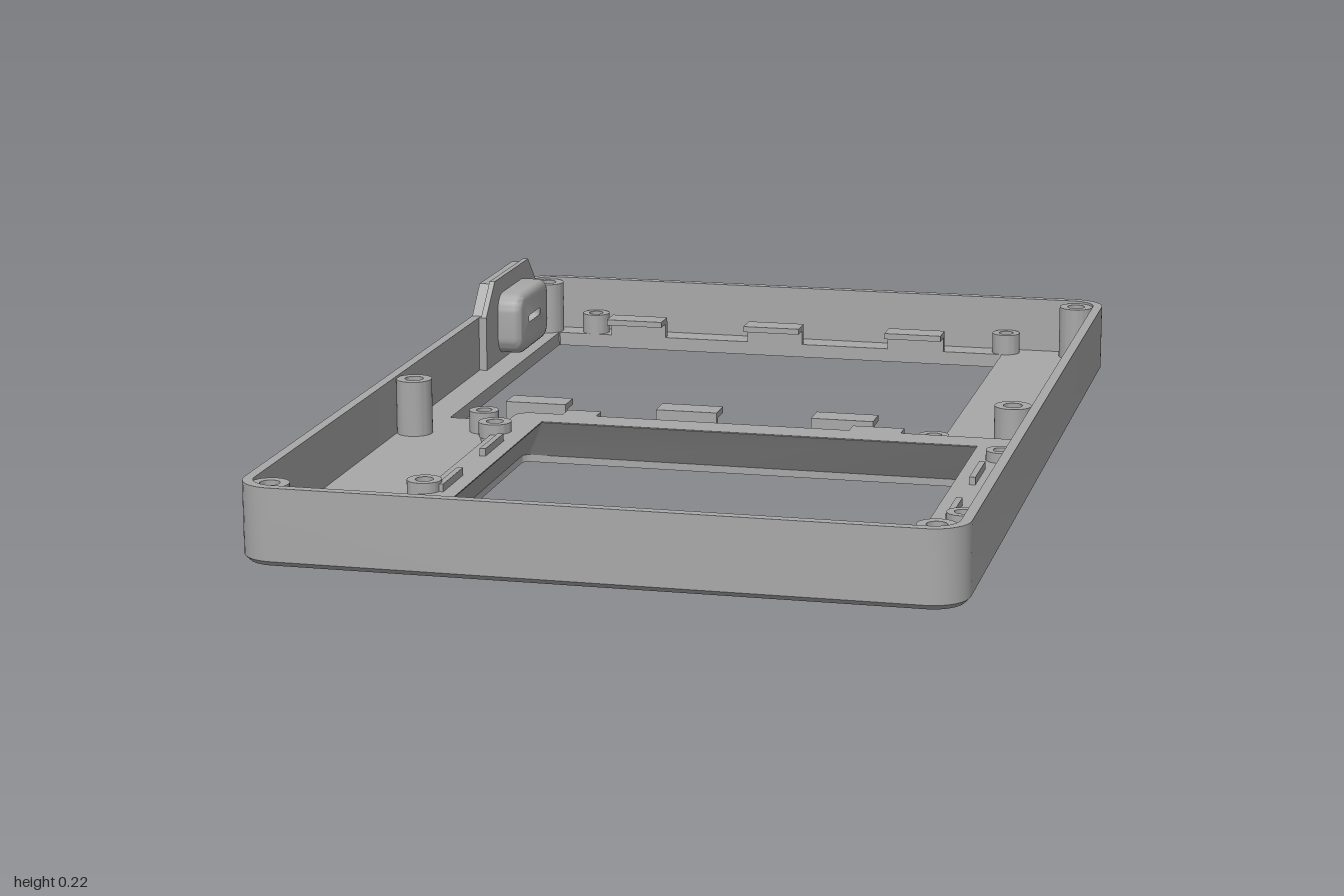
import * as THREE from 'three';
import { toCreasedNormals } from 'three/addons/utils/BufferGeometryUtils.js';

const V = (x, y) => new THREE.Vector2(x, y);

// Rounded rectangle outline, from its lower left corner round to its upper left
function outline(x0, x1, z0, z1, r, n = 8) {
  const pts = [];
  const corners = [[x0 + r, z1 - r], [x1 - r, z1 - r], [x1 - r, z0 + r], [x0 + r, z0 + r]];
  corners.forEach(([cx, cz], k) => {
    for (let i = 0; i <= n; i++) {
      const a = Math.PI - (k + i / n) * Math.PI / 2;
      pts.push(V(cx + r * Math.cos(a), cz + r * Math.sin(a)));
    }
  });
  return pts;
}

function shapeOf(pts, holes = []) {
  const s = new THREE.Shape(pts);
  holes.forEach(h => s.holes.push(new THREE.Path(h)));
  return s;
}

// Plan outline (x, z) raised from y0 to y1
function raise(shape, y0, y1) {
  const g = new THREE.ExtrudeGeometry(shape, { depth: y1 - y0, bevelEnabled: false, curveSegments: 20 });
  g.rotateX(Math.PI / 2).translate(0, y1, 0);
  return toCreasedNormals(g, 0.6);
}

// Side outline (z, y) extruded from x0 to x1
function across(shape, x0, x1, bevel = 0) {
  const g = new THREE.ExtrudeGeometry(shape, {
    depth: x1 - x0 - bevel, bevelEnabled: bevel > 0, bevelSize: bevel, bevelThickness: bevel,
    bevelOffset: -bevel, bevelSegments: 3,
  });
  g.rotateY(-Math.PI / 2).translate(x1 - bevel, 0, 0);
  return toCreasedNormals(g, 0.6);
}

// Sloping band between two outlines with equal point counts
function band(a, ya, b, yb) {
  const pos = [], idx = [], n = a.length;
  for (let i = 0; i < n; i++) pos.push(a[i].x, ya, a[i].y, b[i].x, yb, b[i].y);
  for (let i = 0; i < n; i++) {
    const p = 2 * i, q = 2 * ((i + 1) % n);
    idx.push(p, q, p + 1, q, q + 1, p + 1);
  }
  const g = new THREE.BufferGeometry();
  g.setAttribute('position', new THREE.Float32BufferAttribute(pos, 3));
  g.setIndex(idx);
  return toCreasedNormals(g, 0.6);
}

export function createModel() {
  const model = new THREE.Group();
  model.name = 'caseFrame';
  const grey = new THREE.MeshStandardMaterial({ color: 0xa8a8a8, side: THREE.DoubleSide });
  grey.name = 'grey plastic';
  const add = (name, g) => {
    const m = new THREE.Mesh(g, grey);
    m.name = name;
    model.add(m);
  };
  const box = (name, x0, x1, y0, y1, z0, z1) => add(name, new THREE.BoxGeometry(x1 - x0, y1 - y0, z1 - z0)
    .translate((x0 + x1) / 2, (y0 + y1) / 2, (z0 + z1) / 2));

  const outer = outline(-0.68, 0.68, -1, 1, 0.07);
  const inner = outline(-0.66, 0.66, -0.98, 0.98, 0.05);
  const foot = outline(-0.67, 0.67, -0.99, 0.99, 0.06);
  const screenHole = outline(-0.592, 0.455, -0.92, -0.06, 0.002, 1);
  const pocket = outline(-0.37, 0.635, 0.15, 0.94, 0.015, 3);
  const window = outline(-0.315, 0.575, 0.205, 0.885, 0.001, 3);

  // Floor with two openings, and the chamfer under the rim
  add('floor', raise(shapeOf(foot, [screenHole, pocket]), 0, 0.03));
  add('bottomChamfer', band(foot, 0, outer, 0.01));

  // Wall, left open where the port panel sits
  add('wall', raise(shapeOf([V(-0.68, -0.5), ...outer, V(-0.68, -0.9), V(-0.66, -0.9),
    ...[...inner].reverse(), V(-0.66, -0.5)]), 0.01, 0.15));

  // Raised frame round the lower window, with a funnel opening downwards
  const frame = outline(-0.385, 0.65, 0.135, 0.955, 0.03, 4);
  add('windowFrame', raise(shapeOf(frame, [pocket]), 0.03, 0.1));
  add('windowFrameTop', raise(shapeOf(frame, [window]), 0.098, 0.1));
  add('windowFunnel', band(pocket, 0.015, window, 0.099));
  [[-0.29, -0.22], [0.305, 0.41]].forEach(([a, b]) => box('frameTab', a, b, 0.03, 0.1, 0.095, 0.14));

  // Locating ribs on the frame
  for (const x of [-0.351, 0.612]) {
    for (const z of [0.375, 0.65]) box('frameRib', x - 0.006, x + 0.006, 0.1, 0.115, z, z + 0.125);
  }
  for (const x of [-0.19, 0.32]) box('frameRib', x, x + 0.135, 0.1, 0.115, 0.919, 0.933);

  // Screw posts: x, z, radius, top
  const posts = [
    [-0.625, -0.942, 0.037, 0.145], [0.62, -0.942, 0.037, 0.145], [-0.625, 0.08, 0.037, 0.145],
    [0.62, 0.035, 0.037, 0.145], [-0.625, 0.945, 0.037, 0.145], [0.62, 0.948, 0.037, 0.145],
    [-0.51, -0.95, 0.031, 0.075], [0.46, -0.95, 0.031, 0.075], [-0.488, 0.035, 0.031, 0.075],
    [0.46, 0.035, 0.031, 0.075],
    [-0.385, 0.3, 0.033, 0.12], [0.637, 0.3, 0.03, 0.12], [-0.385, 0.765, 0.033, 0.12], [0.637, 0.765, 0.03, 0.12],
  ];
  for (const [x, z, r, top] of posts) {
    const s = new THREE.Shape().absarc(x, z, r, 0, Math.PI * 2);
    s.holes.push(new THREE.Path().absarc(x, z, r * 0.52, 0, Math.PI * 2));
    // Frame posts keep clear of the funnel below
    add('screwPost', raise(s, top === 0.12 ? 0.09 : 0.025, top));
    if (top === 0.12) {
      const side = x < 0 ? 1 : -1;
      const half = new THREE.Shape().absarc(x + side * 0.004, z, r, side * Math.PI / 2, side * Math.PI / 2 + Math.PI);
      add('screwPostBase', raise(half, 0.03, 0.09));
    }
  }

  // Hooks along both edges of the upper opening
  for (const x of [-0.465, -0.14, 0.19]) {
    box('hookStem', x, x + 0.13, 0.03, 0.075, -0.06, -0.046);
    box('hookLip', x, x + 0.13, 0.062, 0.075, -0.105, -0.046);
    box('hookStem', x, x + 0.13, 0.03, 0.075, -0.936, -0.92);
    box('hookLip', x, x + 0.13, 0.062, 0.075, -0.936, -0.878);
  }

  // Port panel rising above the wall, with a recess to the slotted boss
  const recess = outline(-0.815, -0.595, 0.055, 0.18, 0.035);
  add('portPanel', across(shapeOf([V(-0.9, 0.01), V(-0.5, 0.01), V(-0.5, 0.15), V(-0.515, 0.15),
    V(-0.575, 0.212), V(-0.835, 0.212), V(-0.895, 0.15), V(-0.9, 0.15)], [recess]), -0.68, -0.655));
  add('portLip', across(shapeOf([V(-0.91, 0.03), V(-0.5, 0.03), V(-0.5, 0.15),
    V(-0.57, 0.219), V(-0.84, 0.219), V(-0.91, 0.15)], [recess]), -0.655, -0.643));
  const slot = outline(-0.765, -0.645, 0.095, 0.14, 0.02);
  add('portBoss', across(shapeOf(outline(-0.825, -0.59, 0.045, 0.183, 0.04), [slot]), -0.645, -0.59, 0.015));

  return model;
}
